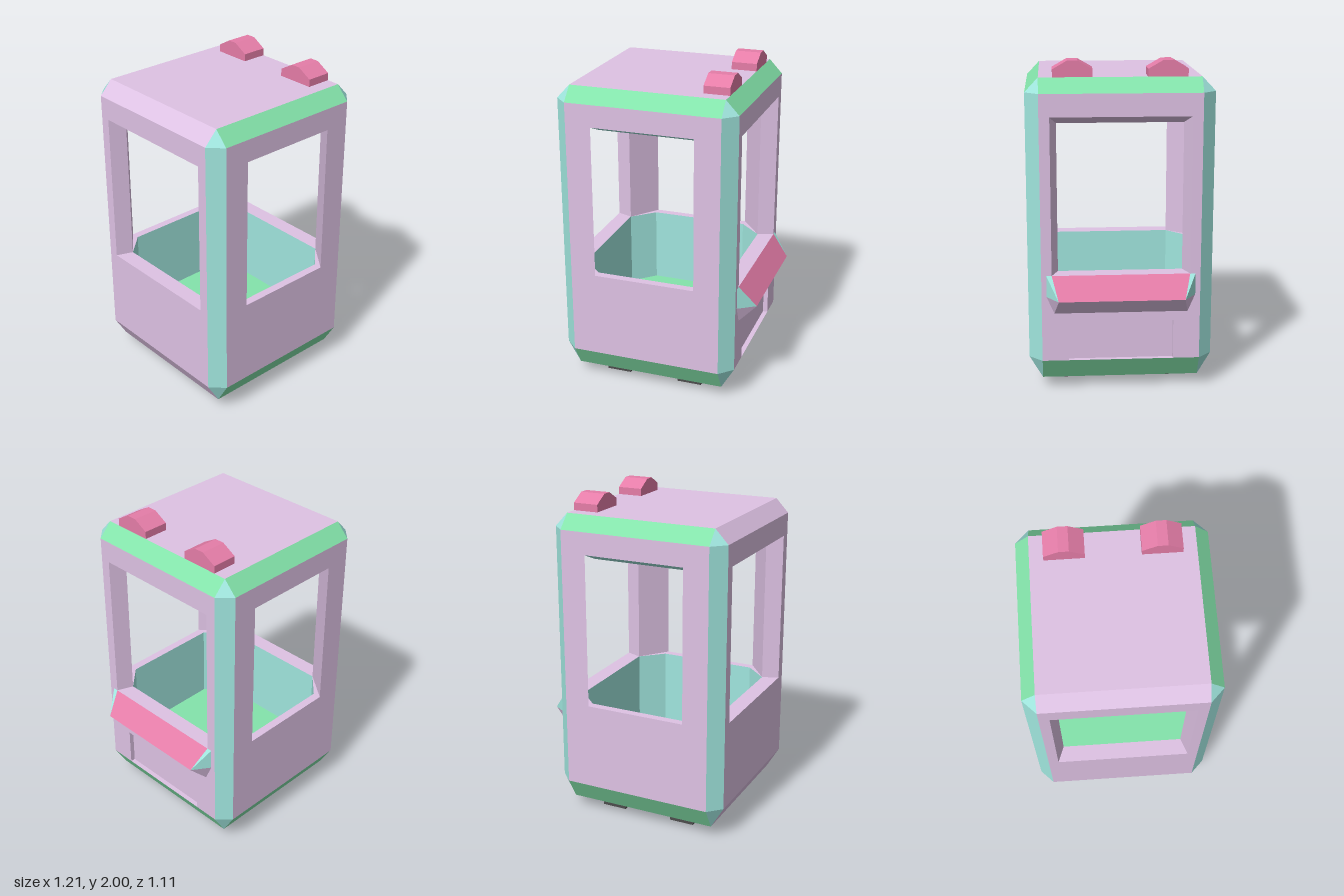
import * as THREE from 'three';

const LILAC = 0xdec2e4, GREEN = 0x84e4ab, TEAL = 0xa0e6de, PINK = 0xe57da8, DARK = 0x4c4c4c;
const V = (x, y, z) => new THREE.Vector3(x, y, z);

function named(name, geometry, color) {
  const m = new THREE.Mesh(geometry, new THREE.MeshStandardMaterial({ color, flatShading: true }));
  m.name = name;
  return m;
}

// Mesh from planar convex faces, each turned away from (or toward) a reference point
function facesMesh(name, color, faces, ref, sign = 1) {
  const pos = [];
  for (const f of faces) {
    const mid = f.reduce((s, p) => s.add(p), V(0, 0, 0)).divideScalar(f.length);
    const n = V(0, 0, 0);
    f.forEach((p, i) => n.add(p.clone().cross(f[(i + 1) % f.length])));
    const q = n.dot(mid.sub(ref)) * sign > 0 ? f : [...f].reverse();
    for (let i = 1; i < q.length - 1; i++) for (const p of [q[0], q[i], q[i + 1]]) pos.push(p.x, p.y, p.z);
  }
  const g = new THREE.BufferGeometry();
  g.setAttribute('position', new THREE.Float32BufferAttribute(pos, 3));
  g.computeVertexNormals();
  return named(name, g, color);
}

// Body limits: outer planes, bevel start lines and heights
const X0 = -0.605, X1 = 0.5, Z = 0.555, C = 0.08;
const XA = X0 + C, XB = X1 - C, ZC = Z - C;
const YB = 0.068, Y0 = 0.205, Y1 = 1.82, YT = 1.905;
// Windows, interior and recess
const SILL = 0.74, HEAD = 1.685, CEIL = 1.637, FLOOR = 0.25;
const WX = [-0.367, 0.262], WZ = 0.413;
const IX = [-0.505, 0.4], IZ = 0.375;
const RECESS = { top: 0.447, half: 0.315, back: 0.47 };
const CENTRE = V(-0.05, 1.2, 0);

const rect = (at, u0, u1, v0, v1) => [at(u0, v0), at(u1, v0), at(u1, v1), at(u0, v1)];
// Quads between two matching closed loops
const band = (a, b) => a.map((p, k) => [p, a[(k + 1) % a.length], b[(k + 1) % a.length], b[k]]);
// Eight-sided loop at height y: (xs, +-zIn) on the ends and (WX, +-zOut) on the long sides
const octagon = (xs, zIn, zOut, y) => [
  V(xs[0], y, -zIn), V(WX[0], y, -zOut), V(WX[1], y, -zOut), V(xs[1], y, -zIn),
  V(xs[1], y, zIn), V(WX[1], y, zOut), V(WX[0], y, zOut), V(xs[0], y, zIn)];

// Outer skin: four walls with windows, bevels, roof and underside
function addShell(model) {
  const add = (name, color, faces) => model.add(facesMesh(name, color, faces, CENTRE));
  const wall = (at, u0, u1, w0, w1, v0) =>
    band(rect(at, u0, u1, v0, Y1), rect(at, w0, w1, SILL, HEAD));
  const walls = [];
  for (const d of [-1, 1]) {
    walls.push(...wall((u, y) => V(u, y, d * Z), XA, XB, ...WX, Y0));
    walls.push(rect((u, y) => V(X1, y, u), d * RECESS.half, d * ZC, Y0, RECESS.top));
  }
  walls.push(...wall((u, y) => V(X1, y, u), -ZC, ZC, -WZ, WZ, RECESS.top));
  walls.push(...wall((u, y) => V(X0, y, u), -ZC, ZC, -WZ, WZ, Y0));
  add('walls', LILAC, walls);

  const corners = [], slopes = [], plain = [];
  for (const d of [-1, 1]) for (const [x, xi] of [[X0, XA], [X1, XB]]) {
    corners.push([V(xi, Y0, d * Z), V(x, Y0, d * ZC), V(x, Y1, d * ZC), V(xi, Y1, d * Z)]);
    for (const [y, ye] of [[Y0, YB], [Y1, YT]])
      corners.push([V(xi, y, d * Z), V(x, y, d * ZC), V(xi, ye, d * ZC)]);
  }
  for (const [y, ye] of [[Y0, YB], [Y1, YT]]) {
    for (const d of [-1, 1])
      slopes.push([V(XA, y, d * Z), V(XB, y, d * Z), V(XB, ye, d * ZC), V(XA, ye, d * ZC)]);
    slopes.push([V(X1, y, -ZC), V(X1, y, ZC), V(XB, ye, ZC), V(XB, ye, -ZC)]);
    plain.push([V(X0, y, -ZC), V(X0, y, ZC), V(XA, ye, ZC), V(XA, ye, -ZC)]);
    plain.push(rect((u, v) => V(u, ye, v), XA, XB, -ZC, ZC));
  }
  add('cornerBevels', TEAL, corners);
  add('edgeBevels', GREEN, slopes);
  add('roofAndUnderside', LILAC, plain);
}

// Interior: flat sill ring, sunken tub, corner posts, sloped window heads and ceiling
function addInterior(model) {
  const add = (name, color, faces) => model.add(facesMesh(name, color, faces, CENTRE, -1));
  const tubTop = octagon(IX, IZ, 0.505, SILL), tubBottom = octagon(IX, IZ, 0.505, FLOOR);
  add('sill', LILAC, band(octagon([X0, X1], WZ, Z, SILL), tubTop));
  add('tubWalls', TEAL, band(tubTop, tubBottom));
  add('floor', GREEN, [tubBottom]);

  const posts = [], sideHeads = [], endHeads = [], zCeil = 0.44;
  [[X0, IX[0], WX[0]], [X1, IX[1], WX[1]]].forEach(([xo, xi, xw]) => {
    for (const d of [-1, 1]) {
      // Jamb of the end window, then the slanted back of the post
      posts.push([V(xo, SILL, d * WZ), V(xo, HEAD, d * WZ), V(xi, CEIL, d * IZ), V(xi, SILL, d * IZ)]);
      posts.push([V(xi, SILL, d * IZ), V(xi, CEIL, d * IZ), V(xw, HEAD, d * Z), V(xw, SILL, d * Z)]);
      sideHeads.push([V(xi, CEIL, d * IZ), V(xw, HEAD, d * Z), V(xw, CEIL, d * zCeil)]);
    }
    endHeads.push([V(xo, HEAD, -WZ), V(xo, HEAD, WZ), V(xi, CEIL, IZ), V(xi, CEIL, -IZ)]);
  });
  for (const d of [-1, 1])
    sideHeads.push([V(WX[0], HEAD, d * Z), V(WX[1], HEAD, d * Z), V(WX[1], CEIL, d * zCeil), V(WX[0], CEIL, d * zCeil)]);
  add('posts', LILAC, posts);
  add('endWindowHeads', LILAC, endHeads);
  add('sideWindowHeads', TEAL, sideHeads);
  add('ceiling', GREEN, [octagon(IX, IZ, zCeil, CEIL)]);
}

// Wedge shelf under the +x window
function addShelf(model) {
  const ref = V(X1, 0.63, 0), ridge = (d) => V(0.605, 0.61, d * 0.374);
  const top = (d) => V(X1, SILL, d * WZ), low = (d) => V(X1, 0.505, d * 0.4);
  const ends = [], under = [[low(-1), low(1), ridge(1), ridge(-1)]];
  for (const d of [-1, 1]) {
    const rim = V(X1, SILL, d * 0.445), mid = V(X1, 0.61, d * 0.445);
    ends.push([top(d), rim, ridge(d)], [rim, mid, ridge(d)]);
    under.push([mid, low(d), ridge(d)]);
  }
  model.add(facesMesh('shelfTop', PINK, [[top(-1), top(1), ridge(1), ridge(-1)]], ref));
  model.add(facesMesh('shelfEnds', TEAL, ends, ref));
  model.add(facesMesh('shelfUnderside', LILAC, under, ref));
}

export function createModel() {
  const model = new THREE.Group();
  model.name = 'cabin';
  addShell(model);
  addInterior(model);
  addShelf(model);

  // Shallow recessed panel low on the +x wall
  const panel = (x) => rect((u, y) => V(x, y, u), -RECESS.half, RECESS.half, Y0, RECESS.top);
  const back = panel(RECESS.back);
  model.add(facesMesh('recessedPanel', LILAC, [back, ...band(panel(X1), back)], V(0.49, 0.33, 0), -1));

  // Two roof lamps and four feet
  const profile = new THREE.Shape([[-0.117, 0], [0.117, 0], [0.117, 0.045], [0.03, 0.095], [-0.03, 0.095], [-0.117, 0.045]]
    .map(([a, b]) => new THREE.Vector2(a, b)));
  for (const d of [-1, 1]) {
    const lamp = named('roofLamp', new THREE.ExtrudeGeometry(profile, { depth: 0.157, bevelEnabled: false }).rotateY(-Math.PI / 2), PINK);
    lamp.position.set(XB, YT, d * 0.277);
    model.add(lamp);
    for (const x of [-0.29, 0.183]) {
      const foot = named('foot', new THREE.BoxGeometry(0.156, 0.08, 0.153), DARK);
      foot.position.set(x, 0.04, d * 0.317);
      model.add(foot);
    }
  }
  return model;
}
